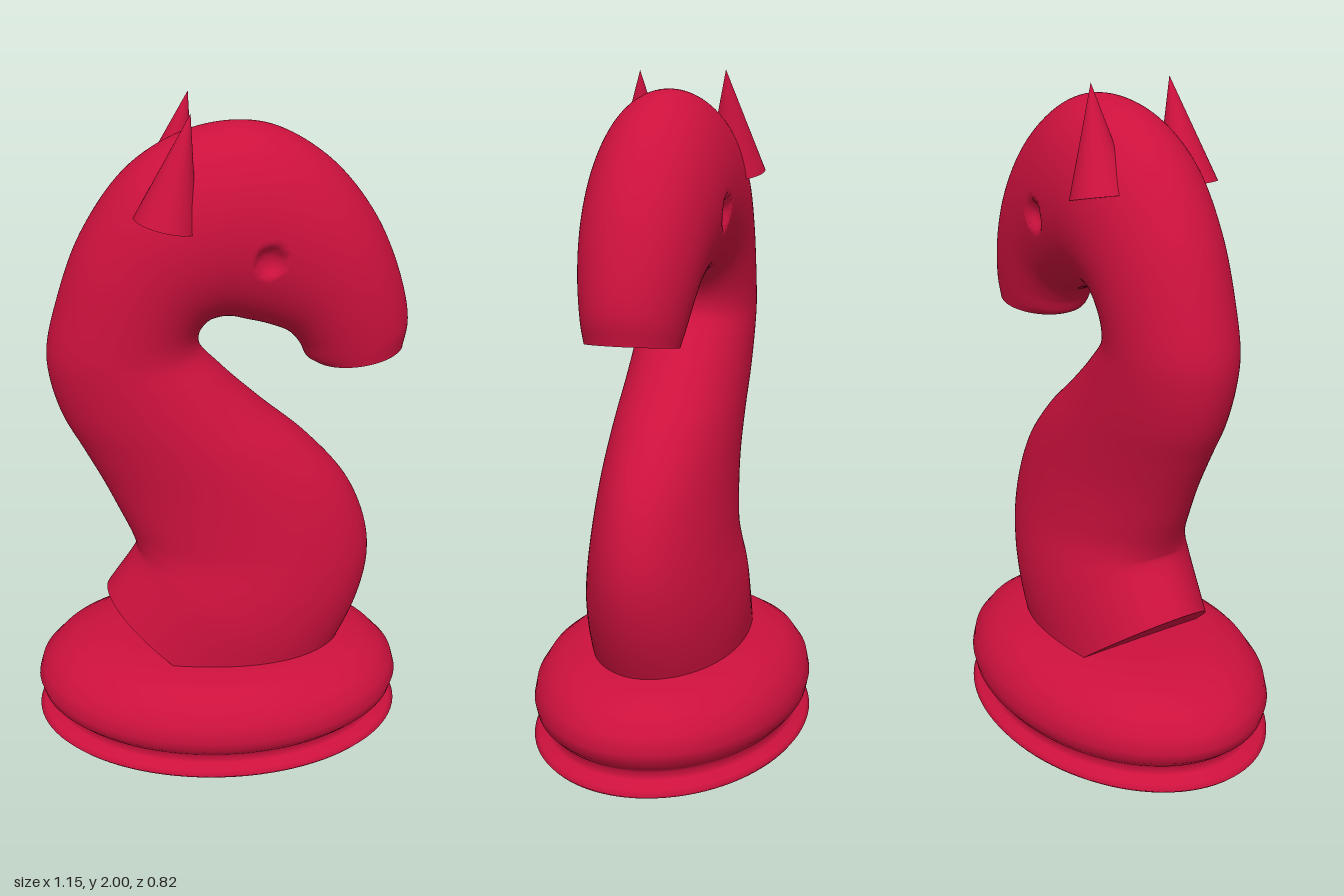
import * as THREE from 'three';

const material = new THREE.MeshStandardMaterial({ color: 0xcc113d });

// Cross-sections from foot to muzzle: back x, back y, front x, front y, half width
const SECTIONS = [
  [-0.345, 0.49, 0.22, 0.03, 0.22],
  [-0.25, 0.64, 0.37, 0.29, 0.232],
  [-0.252, 0.66, 0.44, 0.46, 0.222],
  [-0.265, 0.70, 0.465, 0.60, 0.207],
  [-0.30, 0.78, 0.45, 0.72, 0.196],
  [-0.345, 0.88, 0.39, 0.86, 0.187],
  [-0.40, 0.99, 0.27, 1.00, 0.182],
  [-0.455, 1.10, 0.14, 1.11, 0.179],
  [-0.485, 1.21, 0.02, 1.22, 0.176],
  [-0.49, 1.30, -0.05, 1.30, 0.174],
  [-0.46, 1.43, -0.05, 1.35, 0.176],
  [-0.38, 1.64, -0.02, 1.39, 0.183],
  [-0.24, 1.83, 0.01, 1.40, 0.192],
  [-0.06, 1.93, 0.04, 1.40, 0.195],
  [0.13, 1.94, 0.08, 1.39, 0.193],
  [0.30, 1.85, 0.14, 1.375, 0.185],
  [0.43, 1.70, 0.20, 1.35, 0.172],
  [0.51, 1.53, 0.235, 1.31, 0.156],
  [0.545, 1.38, 0.255, 1.27, 0.138],
  [0.535, 1.30, 0.275, 1.26, 0.128],
];
const EYE = { x: 0.135, y: 1.615, r: 0.042, depth: 0.03 };

// Head and neck: elliptical sections lofted between a back curve and a front curve
function buildBody() {
  const rings = 220, sides = 112;
  const back = new THREE.CatmullRomCurve3(SECTIONS.map(s => new THREE.Vector3(s[0], s[1], s[4])));
  const front = new THREE.CatmullRomCurve3(SECTIONS.map(s => new THREE.Vector3(s[2], s[3], s[4])));
  const pos = [], index = [];
  for (let i = 0; i <= rings; i++) {
    const b = back.getPoint(i / rings), f = front.getPoint(i / rings);
    for (let j = 0; j < sides; j++) {
      const a = (j / sides) * Math.PI * 2, c = Math.cos(a);
      const x = (b.x + f.x) / 2 + ((b.x - f.x) / 2) * c;
      const y = (b.y + f.y) / 2 + ((b.y - f.y) / 2) * c;
      let z = Math.sin(a) * (b.z + f.z) / 2;
      // Round eye sockets pressed into both cheeks
      const d = Math.hypot(x - EYE.x, y - EYE.y) / EYE.r;
      if (d < 1) z -= Math.sign(z) * EYE.depth * Math.sqrt(1 - d * d);
      pos.push(x, y, z);
      if (i < rings) {
        const p = i * sides + j, q = i * sides + ((j + 1) % sides);
        index.push(p, q, p + sides, q, q + sides, p + sides);
      }
    }
  }
  // Flat caps with their own vertices so the rims stay sharp
  for (const [ring, flip] of [[0, true], [rings, false]]) {
    const start = pos.length / 3;
    for (let j = 0; j < sides * 3; j++) pos.push(pos[ring * sides * 3 + j]);
    for (let j = 1; j < sides - 1; j++) {
      if (flip) index.push(start, start + j + 1, start + j);
      else index.push(start, start + j, start + j + 1);
    }
  }
  const geo = new THREE.BufferGeometry();
  geo.setAttribute('position', new THREE.Float32BufferAttribute(pos, 3));
  geo.setIndex(index);
  geo.computeVertexNormals();
  return geo;
}

// Oval foot: thin lip, groove and a fat rounded cushion
function buildBase() {
  const lip = [[0, 0], [0.3, 0.015], [0.5, 0.035], [0.565, 0.05], [0.575, 0.06], [0.56, 0.07], [0.525, 0.083]];
  const cushion = [[0.525, 0.083], [0.508, 0.1], [0.535, 0.12], [0.562, 0.145], [0.572, 0.18],
    [0.56, 0.225], [0.52, 0.27], [0.46, 0.302], [0.38, 0.322], [0.28, 0.333], [0, 0.335]];
  const profile = [...lip, ...cushion.slice(1)].map(p => new THREE.Vector2(...p));
  return new THREE.LatheGeometry(profile, 96).scale(1, 1, 0.713);
}

export function createModel() {
  const model = new THREE.Group();
  const add = (name, geo) => {
    const mesh = new THREE.Mesh(geo, material);
    mesh.name = name;
    model.add(mesh);
    return mesh;
  };
  add('headAndNeck', buildBody());
  add('base', buildBase());

  // Pointed ears, leaning forward and slightly inward
  for (const side of [1, -1]) {
    const foot = new THREE.Vector3(-0.145, 1.708, side * 0.142);
    const tip = new THREE.Vector3(-0.075, 2.0, side * 0.128);
    const axis = tip.clone().sub(foot);
    const ear = add(side > 0 ? 'leftEar' : 'rightEar', new THREE.ConeGeometry(0.087, axis.length(), 40));
    ear.position.copy(foot).add(tip).multiplyScalar(0.5);
    ear.quaternion.setFromUnitVectors(new THREE.Vector3(0, 1, 0), axis.normalize());
  }
  return model;
}
